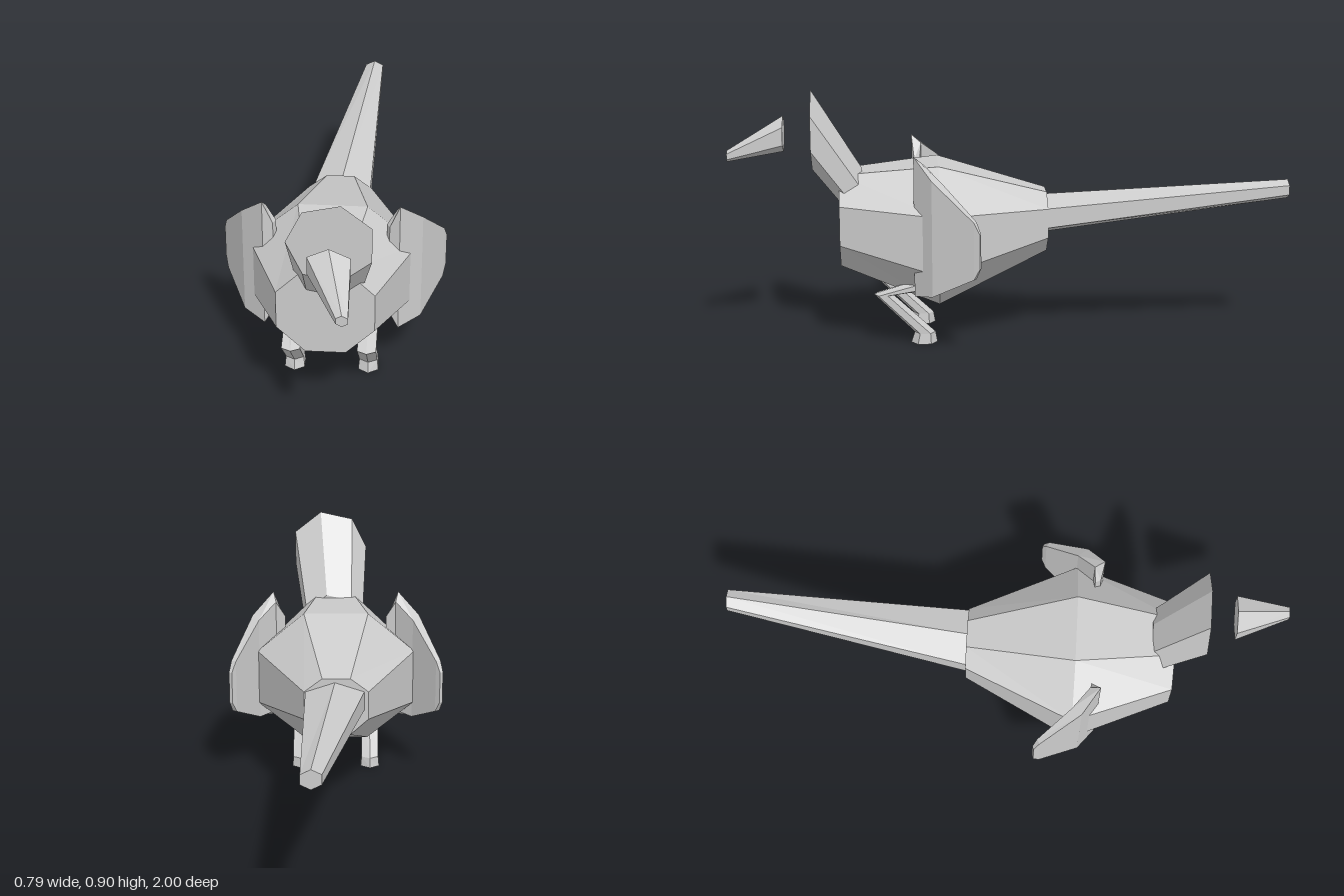
import * as THREE from 'three';

// Faceted solid through a row of equal-sized rings of [x, y, z], capped at both ends
function loft(rings) {
  const tris = [];
  const n = rings[0].length;
  for (let r = 0; r < rings.length - 1; r++) {
    const a = rings[r], b = rings[r + 1];
    for (let i = 0; i < n; i++) {
      const j = (i + 1) % n;
      tris.push([a[i], a[j], b[j]], [a[i], b[j], b[i]]);
    }
  }
  const first = rings[0], last = rings[rings.length - 1];
  for (let i = 1; i < n - 1; i++) {
    tris.push([first[0], first[i + 1], first[i]], [last[0], last[i], last[i + 1]]);
  }
  // Turn the faces outward whichever way the rings run
  const volume = tris.reduce((sum, [p, q, s]) => sum
    + p[0] * (q[1] * s[2] - q[2] * s[1])
    + p[1] * (q[2] * s[0] - q[0] * s[2])
    + p[2] * (q[0] * s[1] - q[1] * s[0]), 0);
  if (volume < 0) tris.forEach((t) => t.reverse());
  const geometry = new THREE.BufferGeometry();
  geometry.setAttribute('position', new THREE.Float32BufferAttribute(tris.flat(2), 3));
  geometry.computeVertexNormals();
  return geometry;
}

// Octagon across the body: half width, half width of the flats, four heights
const bodyRing = (z, w, flat, bottom, low, high, top) => [
  [flat, top, z], [w, high, z], [w, low, z], [flat, bottom, z],
  [-flat, bottom, z], [-w, low, z], [-w, high, z], [-flat, top, z],
];

// Hexagon facing z with a corner at the top
const hexRing = (x, y, z, w, h) => Array.from({ length: 6 }, (_, i) => {
  const a = (i * Math.PI) / 3;
  return [x + (w * Math.sin(a)) / Math.sin(Math.PI / 3), y + h * Math.cos(a), z];
});

// Hexagon across the leg, its corner pointing along (dy, dz)
const legRing = (y, z, rx, dy, dz) => Array.from({ length: 6 }, (_, i) => {
  const a = (i * Math.PI) / 3;
  return [0.132 + rx * Math.sin(a), y + dy * Math.cos(a), z + dz * Math.cos(a)];
});

const mirror = (rings) => rings.map((ring) => ring.map(([x, y, z]) => [-x, y, z]));

export function createModel() {
  const group = new THREE.Group();
  group.name = 'bird';
  const grey = new THREE.MeshStandardMaterial({ color: 0xcccccc });
  grey.name = 'light grey';

  const add = (name, rings) => {
    const mesh = new THREE.Mesh(loft(rings), grey);
    mesh.name = name;
    group.add(mesh);
  };

  // Plump body, tapering to the rump
  add('body', [
    bodyRing(0.61, 0.165, 0.068, 0.27, 0.365, 0.505, 0.6),
    bodyRing(0.26, 0.295, 0.12, 0.135, 0.28, 0.487, 0.635),
    bodyRing(-0.13, 0.115, 0.05, 0.31, 0.37, 0.475, 0.525),
  ]);

  // Long tail
  add('tail', [
    hexRing(0.005, 0.44, -0.13, 0.105, 0.07),
    hexRing(0.08, 0.531, -1, 0.034, 0.034),
  ]);

  // Seven-sided neck ending in a flat face
  const face = [
    [-0.065, 0.877], [0.058, 0.905], [0.158, 0.825], [0.158, 0.7],
    [0.058, 0.62], [-0.065, 0.645], [-0.12, 0.765],
  ];
  add('neckAndHead', [
    face.map(([x, y]) => [x, y, 0.705]),
    face.map(([x, y]) => [0.005 + (x - 0.02) * 0.78, 0.508 + (y - 0.763) * 0.78, 0.53]),
  ]);

  // Beak, set apart from the face
  add('beak', [
    hexRing(0.027, 0.745, 0.805, 0.069, 0.064),
    hexRing(0.081, 0.676, 1, 0.019, 0.02),
  ]);

  // Curved wing, by section: front x, z, back x, z, bottom, top, inset of the back
  const wing = [
    [0.2, 0.34, 0.19, 0.32, 0.26, 0.605, 0],
    [0.235, 0.35, 0.225, 0.315, 0.196, 0.693, 0.03],
    [0.312, 0.29, 0.288, 0.255, 0.212, 0.62, 0.01],
    [0.387, 0.15, 0.37, 0.14, 0.29, 0.49, 0],
    [0.396, 0.13, 0.385, 0.125, 0.33, 0.45, 0],
  ].map(([fx, fz, bx, bz, lo, hi, inset]) => [
    [fx, lo, fz], [fx, hi, fz], [bx, hi - inset, bz], [bx, lo + inset, bz],
  ]);
  add('leftWing', wing);
  add('rightWing', mirror(wing));

  // Bent leg: foot, ankle, knee, thigh
  const leg = [
    legRing(0, 0.316, 0.041, 0, 0.047),
    legRing(0.038, 0.313, 0.037, 0, 0.037),
    legRing(0.18, 0.461, 0.038, 0, 0.033),
    legRing(0.215, 0.3, 0.038, 0.025, 0),
  ];
  add('leftLeg', leg);
  add('rightLeg', mirror(leg));

  return group;
}
